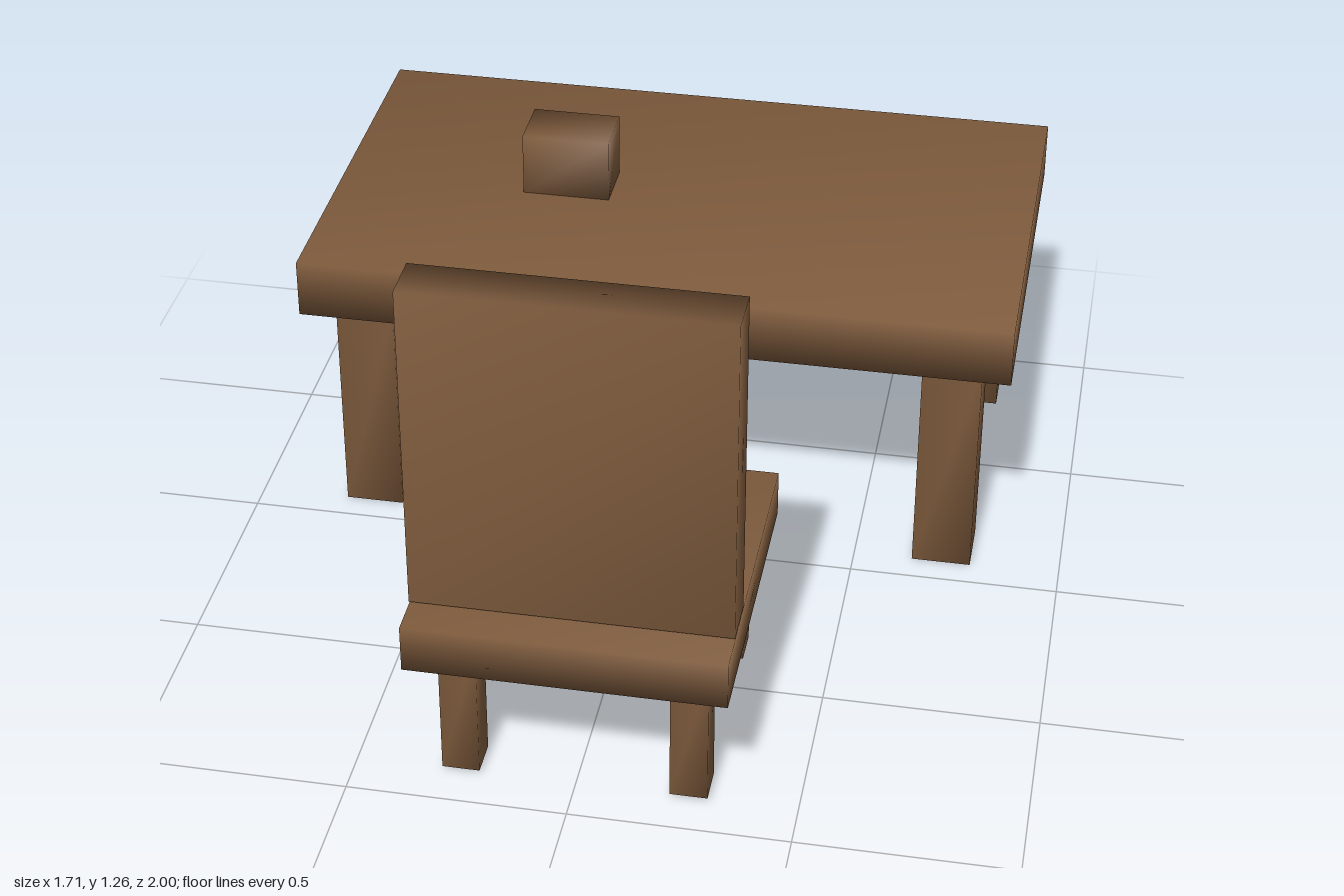
import * as THREE from 'three';
import { mergeVertices } from 'three/addons/utils/BufferGeometryUtils.js';

const wood = new THREE.MeshStandardMaterial({ color: 0x7d5a3c });

// Box given by its extents, with corner normals shared so the shading is smooth
function block(name, [x0, x1], [y0, y1], [z0, z1]) {
  let geometry = new THREE.BoxGeometry(x1 - x0, y1 - y0, z1 - z0);
  geometry.deleteAttribute('normal');
  geometry.deleteAttribute('uv');
  geometry = mergeVertices(geometry);
  geometry.computeVertexNormals();
  const mesh = new THREE.Mesh(geometry, wood);
  mesh.name = name;
  mesh.position.set((x0 + x1) / 2, (y0 + y1) / 2, (z0 + z1) / 2);
  return mesh;
}

// Four square legs, one at each pairing of the x and z centres
function addLegs(group, name, xs, zs, width, y) {
  const h = width / 2;
  for (const x of xs) {
    for (const z of zs) group.add(block(name, [x - h, x + h], y, [z - h, z + h]));
  }
}

export function createModel() {
  const model = new THREE.Group();
  model.name = 'deskAndChair';

  // Table
  const table = new THREE.Group();
  table.name = 'table';
  table.add(block('tableTop', [-0.855, 0.855], [0.58, 0.723], [-1, 0]));
  addLegs(table, 'tableLeg', [-0.713, 0.713], [-0.14, -0.857], 0.142, [0, 0.58]);

  // Small block standing on the table
  table.add(block('tableBlock', [-0.394, -0.18], [0.723, 0.88], [-0.571, -0.428]));

  // Chair, facing the table
  const chair = new THREE.Group();
  chair.name = 'chair';
  chair.add(block('seat', [-0.358, 0.355], [0.353, 0.466], [0.286, 1]));
  chair.add(block('backrest', [-0.358, 0.355], [0.473, 1.26], [0.801, 0.915]));
  addLegs(chair, 'chairLeg', [-0.26, 0.256], [0.362, 0.862], 0.085, [0.01, 0.353]);

  model.add(table, chair);
  return model;
}
